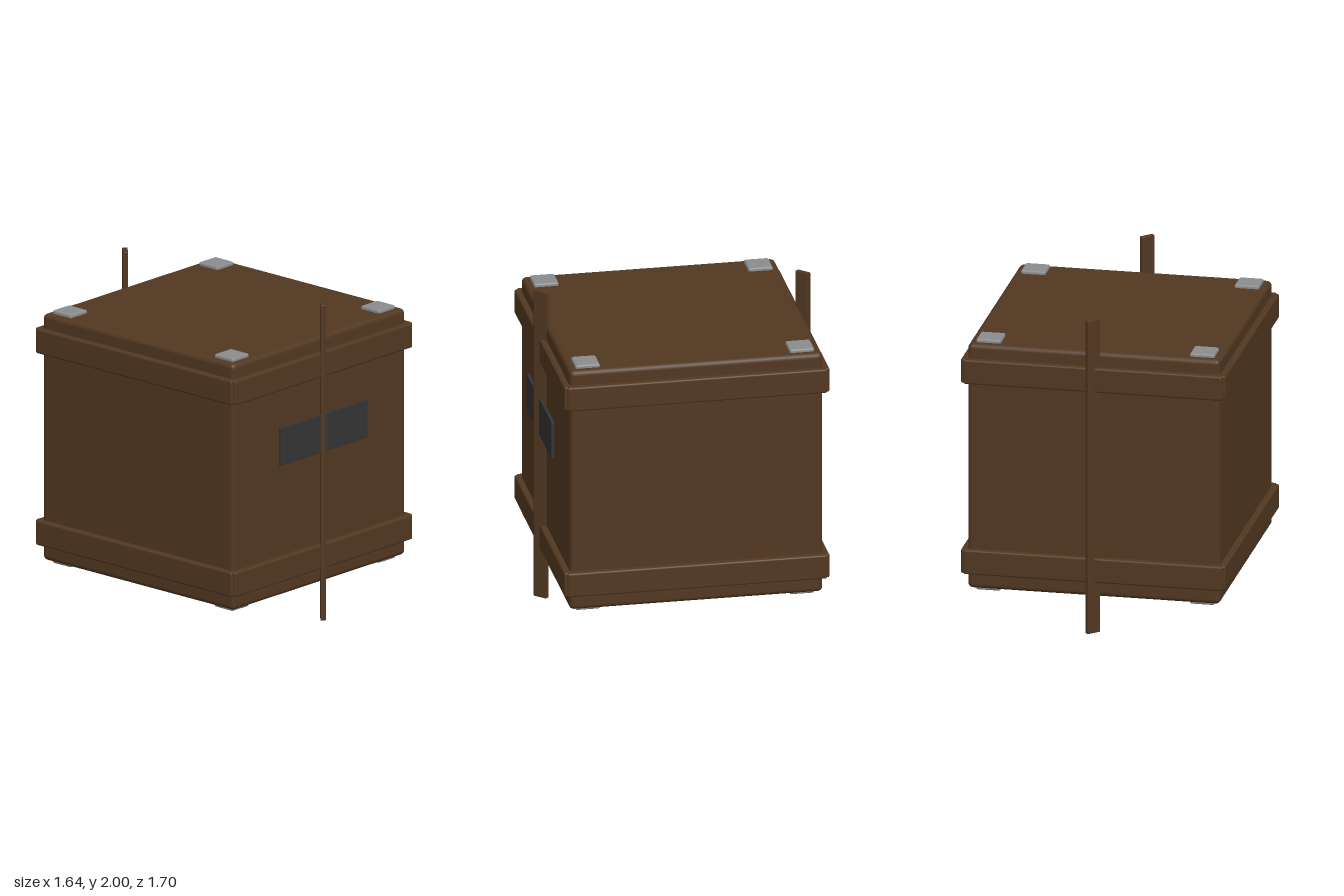
import * as THREE from 'three';
import { RoundedBoxGeometry } from 'three/addons/geometries/RoundedBoxGeometry.js';

const material = (name, color) => {
  const m = new THREE.MeshStandardMaterial({ color });
  m.name = name;
  return m;
};

export function createModel() {
  const wood = material('brown wood', 0x523821);
  const metal = material('grey metal', 0x8b8c8e);
  const dark = material('dark plate', 0x343434);
  const group = new THREE.Group();

  // Softly bevelled box centred on (x, y, z)
  const box = (name, mat, [w, h, d], [x, y, z], radius) => {
    const mesh = new THREE.Mesh(new RoundedBoxGeometry(w, h, d, 3, radius), mat);
    mesh.name = name;
    mesh.position.set(x, y, z);
    group.add(mesh);
    return mesh;
  };

  // Crate body
  box('crateBody', wood, [1.56, 1.56, 1.56], [0, 1, 0], 0.03);

  // Two bands, each made of crossing boards that leave notched corners
  for (const [name, y] of [['lowerBand', 0.397], ['upperBand', 1.612]]) {
    box(name + 'FrontBack', wood, [1.6, 0.155, 1.636], [0, y, 0], 0.012);
    box(name + 'Sides', wood, [1.636, 0.155, 1.6], [0, y, 0], 0.012);
  }

  // Upright slats at front and back, turned edge-on by 45 degrees
  for (const side of [1, -1]) {
    const slat = box(side > 0 ? 'frontSlat' : 'backSlat', wood,
      [0.092, 2, 0.032], [0, 1, side * 0.806], 0.005);
    slat.rotation.y = Math.PI / 4;
  }

  // Dark plate on the front
  box('frontPlate', dark, [0.784, 0.24, 0.02], [0, 1.18, 0.81], 0.004);

  // Corner pads on top and underneath
  for (const sx of [-1, 1]) for (const sz of [-1, 1]) for (const sy of [-1, 1])
    box(sy > 0 ? 'topPad' : 'bottomPad', metal, [0.152, 0.05, 0.152],
      [sx * 0.66, 1 + sy * 0.776, sz * 0.66], 0.012);

  return group;
}
